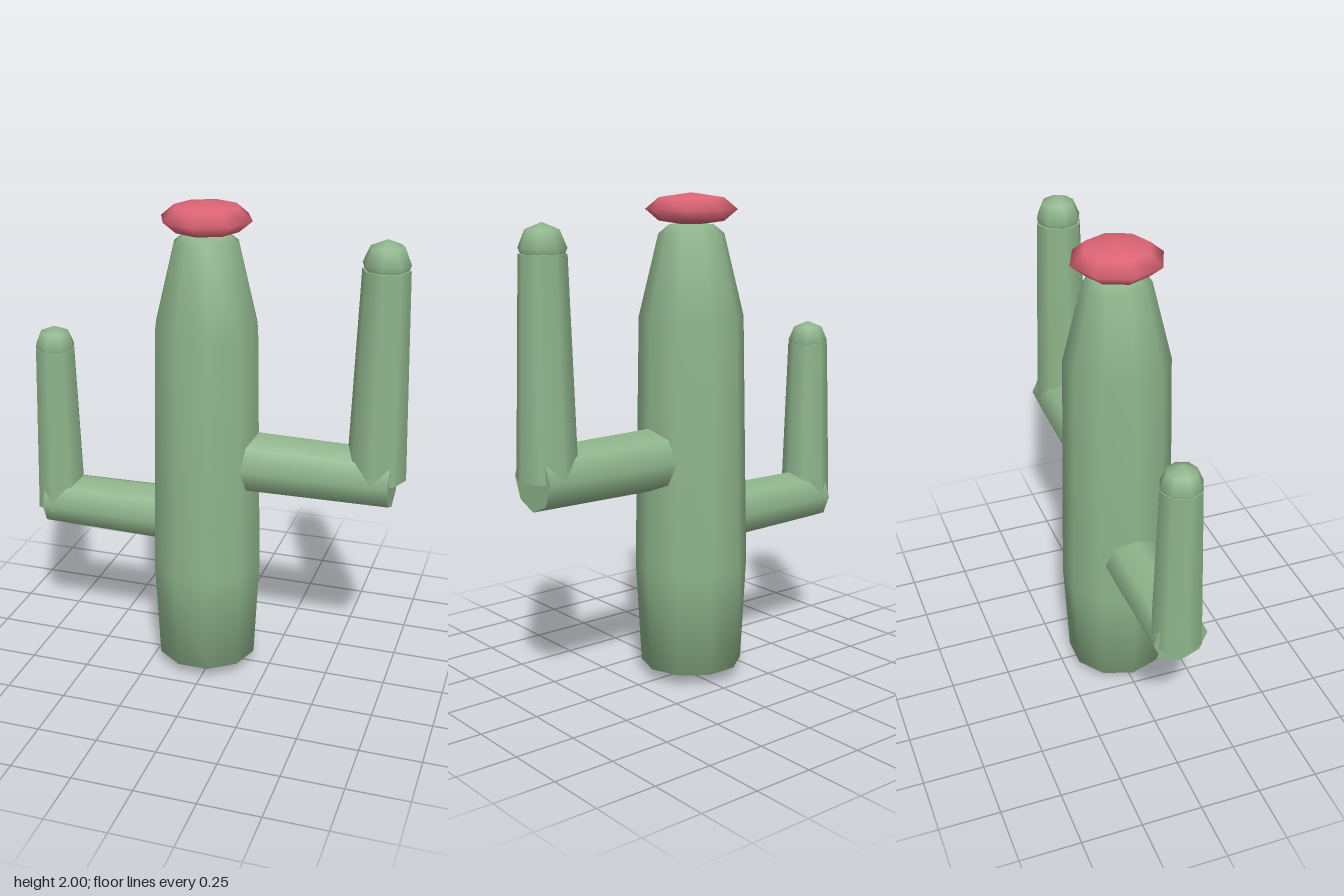
import * as THREE from 'three';

export function createModel() {
  const model = new THREE.Group();
  model.name = 'cactus';

  const green = new THREE.MeshStandardMaterial({ color: 0x8fb58c });
  green.name = 'cactusGreen';
  const pink = new THREE.MeshStandardMaterial({ color: 0xdd6575 });
  pink.name = 'flowerPink';

  const add = (parent, name, geometry, material, x, y) => {
    const mesh = new THREE.Mesh(geometry, material);
    mesh.name = name;
    mesh.position.set(x, y, 0);
    parent.add(mesh);
    return mesh;
  };

  const trunkX = -0.032;

  // Ten-sided trunk, swelling low down and narrowing to the crown
  const profile = [
    [0, 0], [0.21, 0.05], [0.232, 0.48], [0.212, 1.51], [0.132, 1.84], [0.09, 1.875], [0, 1.885],
  ].map(([r, y]) => new THREE.Vector2(r, y));
  const trunk = new THREE.LatheGeometry(profile, 10, Math.PI / 2);
  add(model, 'trunk', trunk, green, trunkX, 0);

  // Flattened flower on the crown
  const flower = new THREE.SphereGeometry(0.185, 8, 4).scale(1, 0.065 / 0.185, 1);
  add(model, 'flower', flower, pink, trunkX, 1.935);

  // Each arm is a horizontal branch, an upright stem and a round tip
  const addArm = (name, side, a) => {
    const arm = new THREE.Group();
    arm.name = name;
    model.add(arm);

    const length = a.branchEnd - 0.05;
    const branch = new THREE.CylinderGeometry(a.endR, a.rootR, length, 8);
    branch.rotateZ(-side * Math.PI / 2);
    add(arm, 'branch', branch, green, side * (0.05 + length / 2), a.branchY);

    const height = a.stemTop - a.stemBase;
    const stem = new THREE.CylinderGeometry(a.topR, a.baseR, height, 8);
    add(arm, 'stem', stem, green, side * a.stemX, a.stemBase + height / 2);

    add(arm, 'tip', new THREE.SphereGeometry(a.topR, 8, 4), green, side * a.stemX, a.tipY);
  };

  addArm('leftArm', 1, {
    branchEnd: 0.742, branchY: 0.945, rootR: 0.131, endR: 0.122,
    stemX: 0.674, stemBase: 0.945, stemTop: 1.79, baseR: 0.12, topR: 0.093, tipY: 1.812,
  });
  addArm('rightArm', -1, {
    branchEnd: 0.735, branchY: 0.664, rootR: 0.121, endR: 0.111,
    stemX: 0.693, stemBase: 0.64, stemTop: 1.345, baseR: 0.106, topR: 0.084, tipY: 1.356,
  });

  return model;
}
